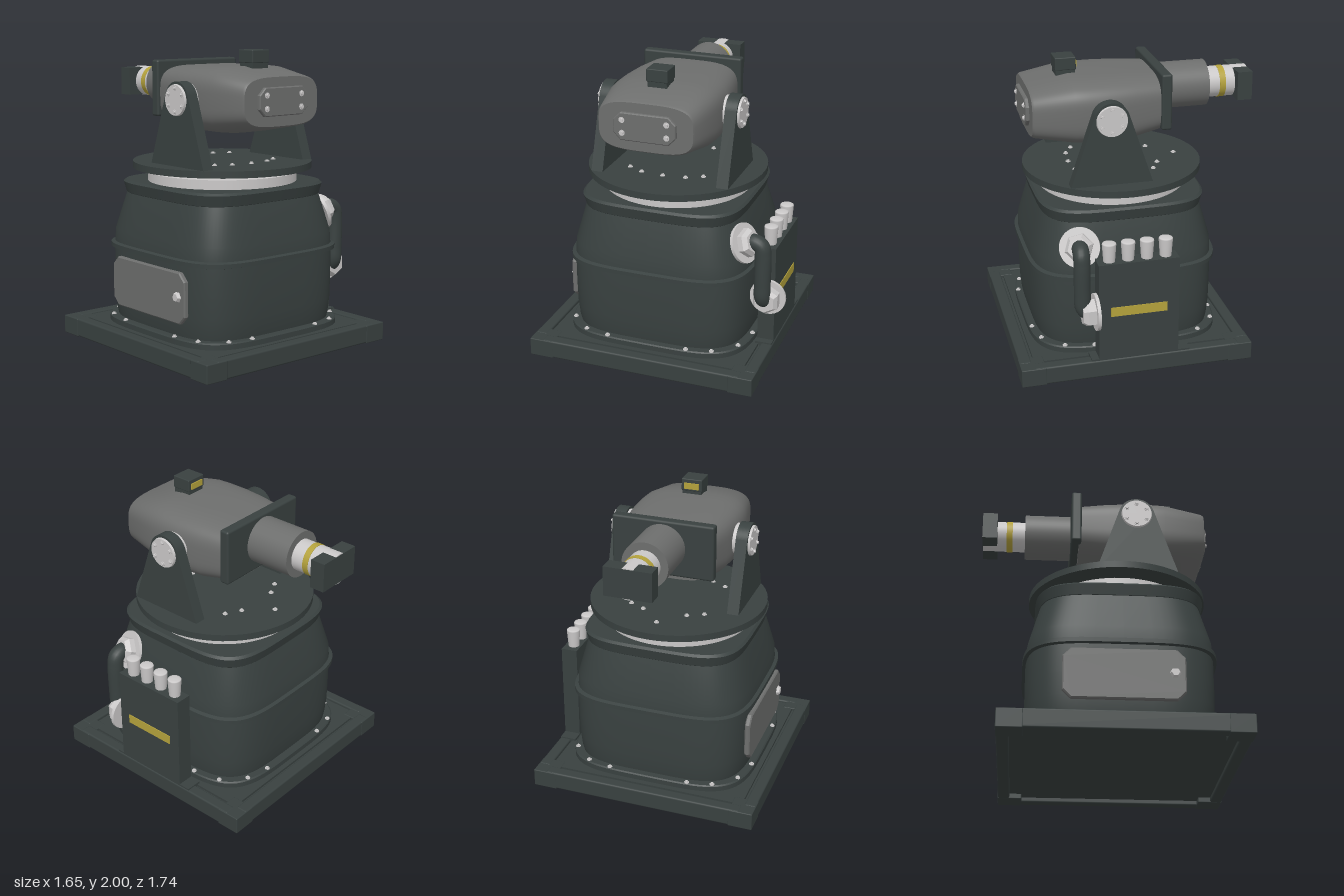
import * as THREE from 'three';
import { toCreasedNormals } from 'three/addons/utils/BufferGeometryUtils.js';
import { RoundedBoxGeometry } from 'three/addons/geometries/RoundedBoxGeometry.js';

const mat = (name, color) => {
  const m = new THREE.MeshStandardMaterial({ color });
  m.name = name;
  return m;
};

// Loft of superellipse rings along y; each row is [y, halfX, halfZ, centreZ]
function loft(rows, n, crease = 0.5, seg = 80) {
  const pos = [], idx = [];
  const pw = v => Math.sign(v) * Math.pow(Math.abs(v), 2 / n);
  for (const [y, hx, hz = hx, cz = 0] of rows) {
    for (let j = 0; j < seg; j++) {
      const a = (j / seg) * Math.PI * 2;
      pos.push(hx * pw(Math.cos(a)), y, cz + hz * pw(Math.sin(a)));
    }
  }
  for (let i = 0; i < rows.length - 1; i++) {
    for (let j = 0; j < seg; j++) {
      const k = (j + 1) % seg;
      const a = i * seg + j, b = i * seg + k, c = a + seg, d = b + seg;
      idx.push(a, c, b, b, c, d);
    }
  }
  const g = new THREE.BufferGeometry();
  g.setAttribute('position', new THREE.Float32BufferAttribute(pos, 3));
  g.setIndex(idx);
  return toCreasedNormals(g, crease);
}

// Plate with cut corners, thickness along +z
function chamferPlate(w, h, t, c, bevel) {
  const x = w / 2 - bevel, y = h / 2 - bevel;
  const pts = [[-x + c, -y], [x - c, -y], [x, -y + c], [x, y - c], [x - c, y], [-x + c, y], [-x, y - c], [-x, -y + c]];
  const s = new THREE.Shape(pts.map(p => new THREE.Vector2(...p)));
  const g = new THREE.ExtrudeGeometry(s, {
    depth: t - 2 * bevel, bevelEnabled: true, bevelSize: bevel, bevelThickness: bevel, bevelSegments: 1
  });
  return g.translate(0, 0, bevel);
}

export function createModel() {
  const dark = mat('dark steel', 0x394140);
  const gray = mat('gray armour', 0x6d6e6d);
  const light = mat('bare metal', 0xcac8c8);
  const yellow = mat('yellow marking', 0xb4a23c);

  const model = new THREE.Group();
  model.name = 'turret';
  const root = new THREE.Group();
  root.name = 'turretParts';
  root.position.x = -0.04;
  model.add(root);

  const add = (name, geo, m, x = 0, y = 0, z = 0) => {
    const mesh = new THREE.Mesh(geo, m);
    mesh.name = name;
    mesh.position.set(x, y, z);
    root.add(mesh);
    return mesh;
  };
  const box = (name, m, x0, x1, y0, y1, z0, z1, r = 0) => {
    const s = [x1 - x0, y1 - y0, z1 - z0];
    const g = r ? new RoundedBoxGeometry(...s, 2, r) : new THREE.BoxGeometry(...s);
    return add(name, g, m, (x0 + x1) / 2, (y0 + y1) / 2, (z0 + z1) / 2);
  };
  // Cylinder from point p along a direction
  const up = new THREE.Vector3(0, 1, 0);
  const rod = (name, m, r0, r1, len, p, dir, seg = 40) => {
    const d = new THREE.Vector3(...dir).normalize();
    const mesh = add(name, new THREE.CylinderGeometry(r1, r0, len, seg), m, ...p);
    mesh.quaternion.setFromUnitVectors(up, d);
    mesh.position.addScaledVector(d, len / 2);
    if (seg <= 6) mesh.geometry = toCreasedNormals(mesh.geometry, 0.3);
  };
  const bolt = (p, dir, r = 0.017) => {
    rod('boltWasher', light, r, r, 0.006, p, dir, 12);
    rod('bolt', light, r * 0.75, r * 0.6, 0.015, p, dir, 6);
  };
  const CZ = 0.08;

  // Base: recessed plate, four rails, four corner feet
  box('basePlate', dark, -0.74, 0.74, 0.035, 0.105, CZ - 0.74, CZ + 0.74);
  box('baseStep', dark, -0.69, 0.69, 0.1, 0.122, CZ - 0.69, CZ + 0.69);
  for (const s of [-1, 1]) {
    box('railAcross', dark, -0.7, 0.7, 0.003, 0.128, CZ + s * 0.748 - 0.04, CZ + s * 0.748 + 0.04, 0.012);
    box('railAlong', dark, s * 0.748 - 0.04, s * 0.748 + 0.04, 0.003, 0.128, CZ - 0.7, CZ + 0.7, 0.012);
    for (const t of [-1, 1]) {
      const x = s * 0.707, z = CZ + t * 0.707;
      box('cornerFoot', dark, x - 0.083, x + 0.083, 0, 0.125, z - 0.083, z + 0.083, 0.006);
    }
  }

  // Body: rounded square shell with bottom flange, belt and top collar
  const N = 4.2;
  add('bodyFlange', loft([[0.1, 0.655], [0.157, 0.655], [0.165, 0.647], [0.165, 0]], N), dark, 0, 0, CZ);
  add('bodyShell', loft([[0.15, 0.6], [0.2, 0.61], [0.3, 0.619], [0.45, 0.622], [0.66, 0.622], [0.77, 0.615], [1.03, 0.545]], N), dark, 0, 0, CZ);
  add('bodyBelt', loft([[0.638, 0.615], [0.646, 0.643], [0.675, 0.643], [0.686, 0.615]], N), dark, 0, 0, CZ);
  add('bodyCollar', loft([[1.01, 0.535], [1.025, 0.55], [1.095, 0.567], [1.11, 0.552], [1.11, 0]], N), dark, 0, 0, CZ);
  for (const sx of [-1, 1]) for (const sz of [-1, 1]) for (const deg of [23, 38, 53, 66]) {
    const a = deg * Math.PI / 180, c = Math.cos(a), s = Math.sin(a);
    const r = 0.637 / Math.pow(c ** N + s ** N, 1 / N);
    bolt([sx * r * c, 0.163, CZ + sz * r * s], [0, 1, 0]);
  }

  // Side hatch with knob
  add('sideHatch', chamferPlate(0.78, 0.34, 0.038, 0.05, 0.008).rotateY(-Math.PI / 2), gray, -0.608, 0.43, CZ);
  rod('hatchKnob', light, 0.038, 0.026, 0.025, [-0.643, 0.44, 0.4], [-1, 0, 0], 6);

  // Rotating deck
  rod('bearingRing', light, 0.508, 0.508, 0.068, [0, 1.105, CZ], [0, 1, 0], 64);
  rod('deckSpacer', dark, 0.38, 0.38, 0.04, [0, 1.17, CZ], [0, 1, 0], 48);
  rod('deck', dark, 0.61, 0.61, 0.046, [0, 1.199, CZ], [0, 1, 0], 64);
  for (const x of [-0.26, -0.155, 0.155, 0.26]) for (const s of [-1, 1]) {
    bolt([x, 1.243, CZ + s * (Math.abs(x) > 0.2 ? 0.23 : 0.285)], [0, 1, 0]);
  }
  for (const z of [-0.445, 0.3]) bolt([0, 1.243, CZ + z], [0, 1, 0]);

  // Fork arms with bolted pivots
  const PZ = 0.185, PY = 1.68;
  const arm = new THREE.Shape();
  arm.moveTo(-0.09, 1.24);
  arm.lineTo(0.46, 1.24);
  arm.absarc(PZ, PY, 0.12, 0.36, Math.PI - 0.36, false);
  arm.closePath();
  for (const s of [-1, 1]) {
    const g = new THREE.ExtrudeGeometry(arm, { depth: 0.08, bevelEnabled: false, curveSegments: 20 });
    add('forkArm', g.rotateY(-Math.PI / 2), dark, s * 0.438 + 0.04);
    rod('pivotCap', light, 0.105, 0.1, 0.018, [s * 0.475, PY, PZ], [s, 0, 0]);
    rod('pivotAxle', light, 0.105, 0.105, 0.06, [s * 0.36, PY, PZ], [s, 0, 0]);
    for (let i = 0; i < 6; i++) {
      const a = (i + 0.5) * Math.PI / 3;
      bolt([s * 0.491, PY + 0.077 * Math.sin(a), PZ + 0.077 * Math.cos(a)], [s, 0, 0]);
    }
  }

  // Head: lofted rounded block running front to back
  const head = [[-0.2, 0, 0, 1.69], [-0.2, 0.326, 0.19, 1.69], [0, 0.362, 0.217, 1.676], [0.17, 0.38, 0.22, 1.675],
    [0.3, 0.38, 0.22, 1.675], [0.39, 0.374, 0.217, 1.676], [0.655, 0.328, 0.169, 1.677], [0.67, 0.318, 0.159, 1.677], [0.67, 0, 0, 1.677]];
  add('head', loft(head.map(([z, hx, hy, cy]) => [z, hx, hy, -cy]), 3.6, 0.9).rotateX(Math.PI / 2), gray);
  add('facePlate', chamferPlate(0.42, 0.185, 0.03, 0.045, 0.006), gray, 0, 1.68, 0.666);
  for (const x of [-0.15, 0.15]) for (const y of [1.638, 1.724]) bolt([x, y, 0.693], [0, 0, 1], 0.02);

  // Sensor on top
  box('sensor', dark, -0.073, 0.073, 1.915, 2, 0.33, 0.47, 0.006);
  box('sensorFoot', dark, -0.066, 0.066, 1.87, 1.92, 0.335, 0.465);
  box('sensorStrip', yellow, -0.052, 0.052, 1.93, 1.972, 0.322, 0.331);

  // Barrel
  const BY = 1.74, back = [0, 0, -1];
  box('barrelShield', dark, -0.35, 0.35, 1.54, 1.92, -0.252, -0.182, 0.015);
  rod('barrelSleeve', gray, 0.157, 0.157, 0.33, [0, BY, -0.24], back, 48);
  rod('barrelTube', light, 0.105, 0.105, 0.306, [0, BY, -0.56], back, 48);
  rod('barrelBand', yellow, 0.108, 0.108, 0.042, [0, BY, -0.658], back, 48);
  box('muzzleBlock', dark, -0.16, 0.16, BY - 0.098, BY + 0.098, -0.868, -0.765);

  // Side cabinet with foot plate and four canisters
  box('cabinet', dark, 0.668, 0.782, 0.12, 0.82, -0.19, 0.35);
  box('cabinetFoot', dark, 0.668, 0.782, 0.11, 0.138, -0.27, 0.4);
  box('cabinetStripe', yellow, 0.781, 0.787, 0.445, 0.51, -0.11, 0.27);
  const can = [[0.038, 0], [0.047, 0.125], [0.044, 0.131], [0.028, 0.135], [0, 0.136]].map(p => new THREE.Vector2(...p));
  for (let i = 0; i < 4; i++) {
    add('canister', new THREE.LatheGeometry(can, 24), light, 0.722, 0.815, -0.11 + i * 0.126);
  }

  // Bent hose with flanged hex fittings at both ends
  const hose = [[0.6, 0.888, 0.435], [0.668, 0.896, 0.445], [0.71, 0.872, 0.447], [0.722, 0.81, 0.447],
    [0.722, 0.6, 0.447], [0.722, 0.51, 0.442], [0.727, 0.475, 0.415], [0.73, 0.47, 0.36]];
  const path = new THREE.CatmullRomCurve3(hose.map(p => new THREE.Vector3(...p)));
  add('hose', new THREE.TubeGeometry(path, 48, 0.055, 20), dark);
  const fitting = (p, dir, r, len) => {
    const d = new THREE.Vector3(...dir).normalize();
    const tip = new THREE.Vector3(...p).addScaledVector(d, len).toArray();
    rod('hoseFlange', light, r, r, 0.022, p, dir);
    rod('hoseNut', light, 0.096, 0.096, len, p, dir, 6);
    rod('hoseNutTip', light, 0.096, 0.074, 0.03, tip, dir, 6);
  };
  fitting([0.58, 0.87, 0.43], [0.89, 0.36, 0.28], 0.134, 0.06);
  fitting([0.738, 0.47, 0.35], [0, 0, 1], 0.124, 0.075);

  return model;
}
